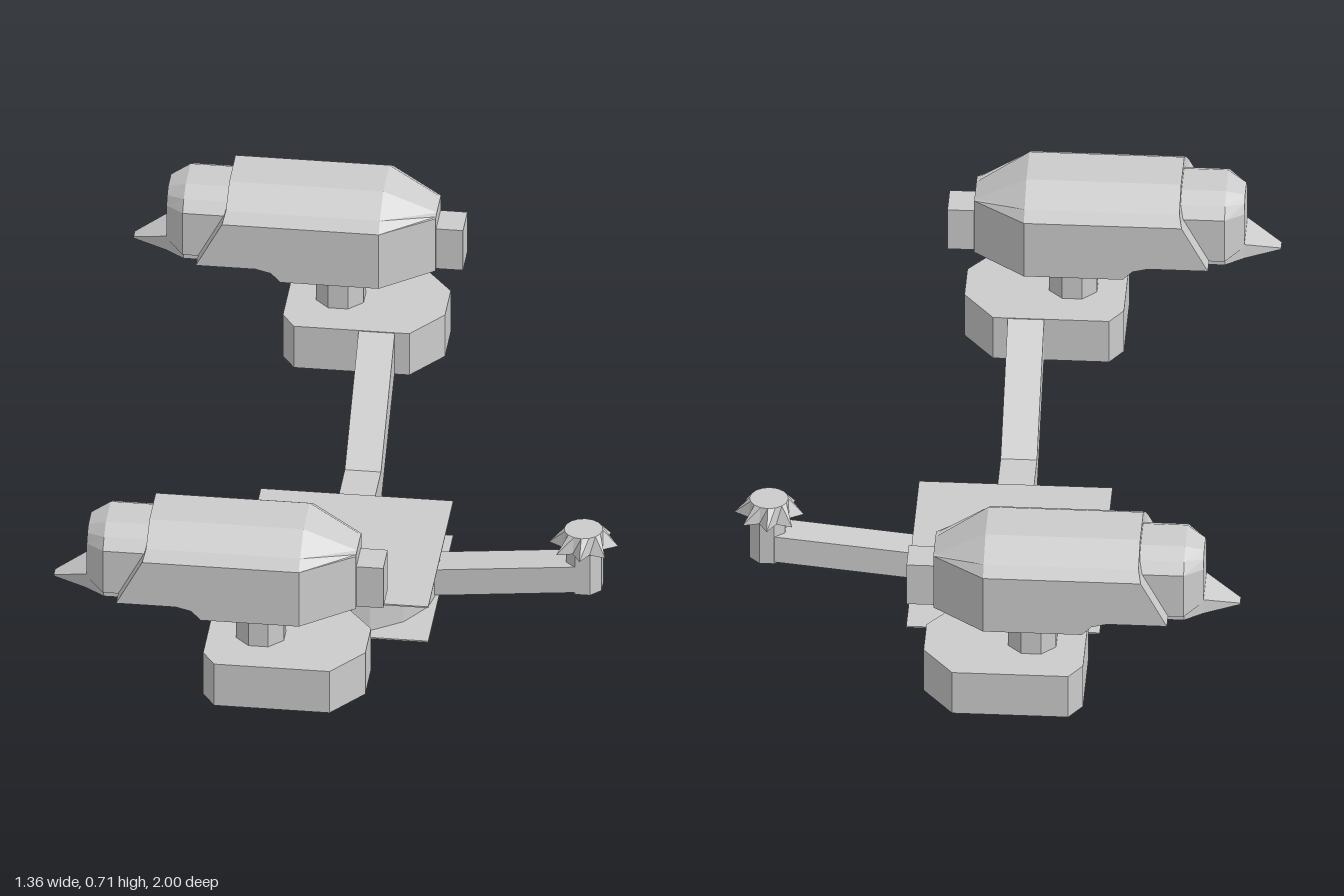
import * as THREE from 'three';

const material = new THREE.MeshStandardMaterial({ color: 0xcccccc, flatShading: true });
const HUB_X = -0.035;

function add(parent, name, geometry, x = 0, y = 0, z = 0) {
  const mesh = new THREE.Mesh(geometry, material);
  mesh.name = name;
  mesh.position.set(x, y, z);
  parent.add(mesh);
  return mesh;
}

function box(parent, name, x0, x1, y0, y1, halfZ) {
  const g = new THREE.BoxGeometry(x1 - x0, y1 - y0, 2 * halfZ);
  return add(parent, name, g, (x0 + x1) / 2, (y0 + y1) / 2, 0);
}

// Flat outline extruded evenly to both sides of its plane
function slab(points, depth) {
  const shape = new THREE.Shape(points.map(p => new THREE.Vector2(...p)));
  return new THREE.ExtrudeGeometry(shape, { depth, bevelEnabled: false }).translate(0, 0, -depth / 2);
}

// Upright octagonal prism with flat sides facing the axes
const octagon = (flat, height) =>
  new THREE.CylinderGeometry(flat / Math.cos(Math.PI / 8), flat / Math.cos(Math.PI / 8), height, 8).rotateY(Math.PI / 8);

// Hull skinned along x; each section lists [x, y, halfWidth] from bottom to top and is mirrored in z
function loft(sections) {
  const rings = sections.map(s => [...s, ...s.map(([x, y, w]) => [x, y, -w]).reverse()]);
  const n = rings[0].length, pos = [];
  const quad = (a, b, c, d) => pos.push(...a, ...b, ...c, ...a, ...c, ...d);
  for (let s = 0; s < rings.length - 1; s++) {
    for (let i = 0; i < n; i++) {
      const j = (i + 1) % n;
      quad(rings[s][i], rings[s + 1][i], rings[s + 1][j], rings[s][j]);
    }
  }
  const first = rings[0], last = rings[rings.length - 1];
  for (let k = 0; k < n / 2 - 1; k++) {
    quad(first[k], first[k + 1], first[n - 2 - k], first[n - 1 - k]);
    quad(last[n - 1 - k], last[n - 2 - k], last[k + 1], last[k]);
  }
  const g = new THREE.BufferGeometry();
  g.setAttribute('position', new THREE.Float32BufferAttribute(pos, 3));
  g.computeVertexNormals();
  return g;
}

// Turret with base, neck, hull, tail and muzzle
function makeTurret() {
  const turret = new THREE.Group();

  const base = slab([
    [-0.285, -0.11], [-0.25, -0.163], [0.05, -0.163], [0.13, -0.06],
    [0.13, 0.06], [0.05, 0.163], [-0.25, 0.163], [-0.285, 0.11],
  ], 0.125).rotateX(-Math.PI / 2);
  add(turret, 'turretBase', base, 0, 0.2875, 0);
  add(turret, 'turretNeck', octagon(0.062, 0.15), -0.148, 0.415, 0);

  // Main hull: slanted rear edge, stepped belly, tapered nose
  const hullAt = (x, bottom) => [[x, bottom, 0.163], [x, 0.643, 0.163], [x, 0.67, 0.138], [x, 0.715, 0.065]];
  add(turret, 'turretHull', loft([
    [[-0.505, 0.515, 0.163], [-0.437, 0.643, 0.163], [-0.43, 0.67, 0.138], [-0.43, 0.715, 0.065]],
    hullAt(-0.35, 0.515),
    hullAt(-0.31, 0.505),
    hullAt(-0.285, 0.48),
    hullAt(-0.03, 0.48),
    [[0.105, 0.48, 0.058], [0.105, 0.638, 0.058], [0.105, 0.639, 0.05], [0.105, 0.64, 0.03]],
  ]));

  // Narrower domed tail
  const tailAt = x => [[x, 0.515, 0.115], [x, 0.64, 0.115], [x, 0.668, 0.09], [x, 0.69, 0.05]];
  add(turret, 'turretTail', loft([
    [[-0.593, 0.53, 0.065], [-0.593, 0.63, 0.065], [-0.593, 0.652, 0.05], [-0.593, 0.667, 0.03]],
    tailAt(-0.545),
    tailAt(-0.38),
  ]));

  // Pointed sill below the tail
  add(turret, 'tailSpike', loft([
    [[-0.685, 0.493, 0.014], [-0.685, 0.497, 0.014]],
    [[-0.593, 0.495, 0.065], [-0.593, 0.537, 0.065]],
    [[-0.545, 0.495, 0.1], [-0.545, 0.525, 0.1]],
    [[-0.36, 0.495, 0.1], [-0.36, 0.518, 0.1]],
  ]));

  box(turret, 'turretMuzzle', 0.1, 0.175, 0.48, 0.6, 0.046);
  return turret;
}

// Eight-pointed flared crown
function makeCrown() {
  const g = new THREE.CylinderGeometry(0.05, 0.09, 0.046, 16);
  const p = g.attributes.position;
  for (let i = 0; i < p.count; i++) {
    const x = p.getX(i), z = p.getZ(i);
    const step = Math.round(Math.atan2(z, x) / (Math.PI / 8));
    if (p.getY(i) < 0 && Math.hypot(x, z) > 0.01 && step % 2 !== 0) {
      p.setX(i, x * 0.64);
      p.setZ(i, z * 0.64);
    }
  }
  g.computeVertexNormals();
  return g;
}

export function createModel() {
  const model = new THREE.Group();
  model.name = 'turretPlatform';

  // Hub drum between two square plates
  add(model, 'hubDrum', new THREE.CylinderGeometry(0.248, 0.248, 0.1, 16), HUB_X, 0.054, 0);
  for (const [name, y] of [['lowerPlate', 0.002], ['upperPlate', 0.106]]) {
    add(model, name, new THREE.BoxGeometry(0.5, 0.004, 0.525), HUB_X, y, 0);
  }

  // Short rear stub and long front boom
  box(model, 'rearStub', -0.415, -0.2, 0.01, 0.096, 0.045);
  add(model, 'frontBoom', slab([[0.12, 0.01], [0.215, 0.01], [0.59, 0.047], [0.59, 0.124], [0.215, 0.087], [0.12, 0.087]], 0.09));
  add(model, 'boomPost', octagon(0.046, 0.13), 0.589, 0.105, 0);
  add(model, 'boomCrown', makeCrown(), 0.586, 0.189, 0);

  // Bent side arms, each carrying a turret
  for (const side of [1, -1]) {
    const arm = slab([
      [0.1, 0.005], [0.35, 0.005], [0.395, 0.016], [0.69, 0.245],
      [0.69, 0.349], [0.675, 0.349], [0.385, 0.105], [0.1, 0.105],
    ], 0.094).rotateY(-side * Math.PI / 2);
    add(model, side > 0 ? 'frontArm' : 'backArm', arm, HUB_X, 0, 0);

    const turret = makeTurret();
    turret.name = side > 0 ? 'frontTurret' : 'backTurret';
    turret.position.z = side * 0.837;
    model.add(turret);
  }
  return model;
}
